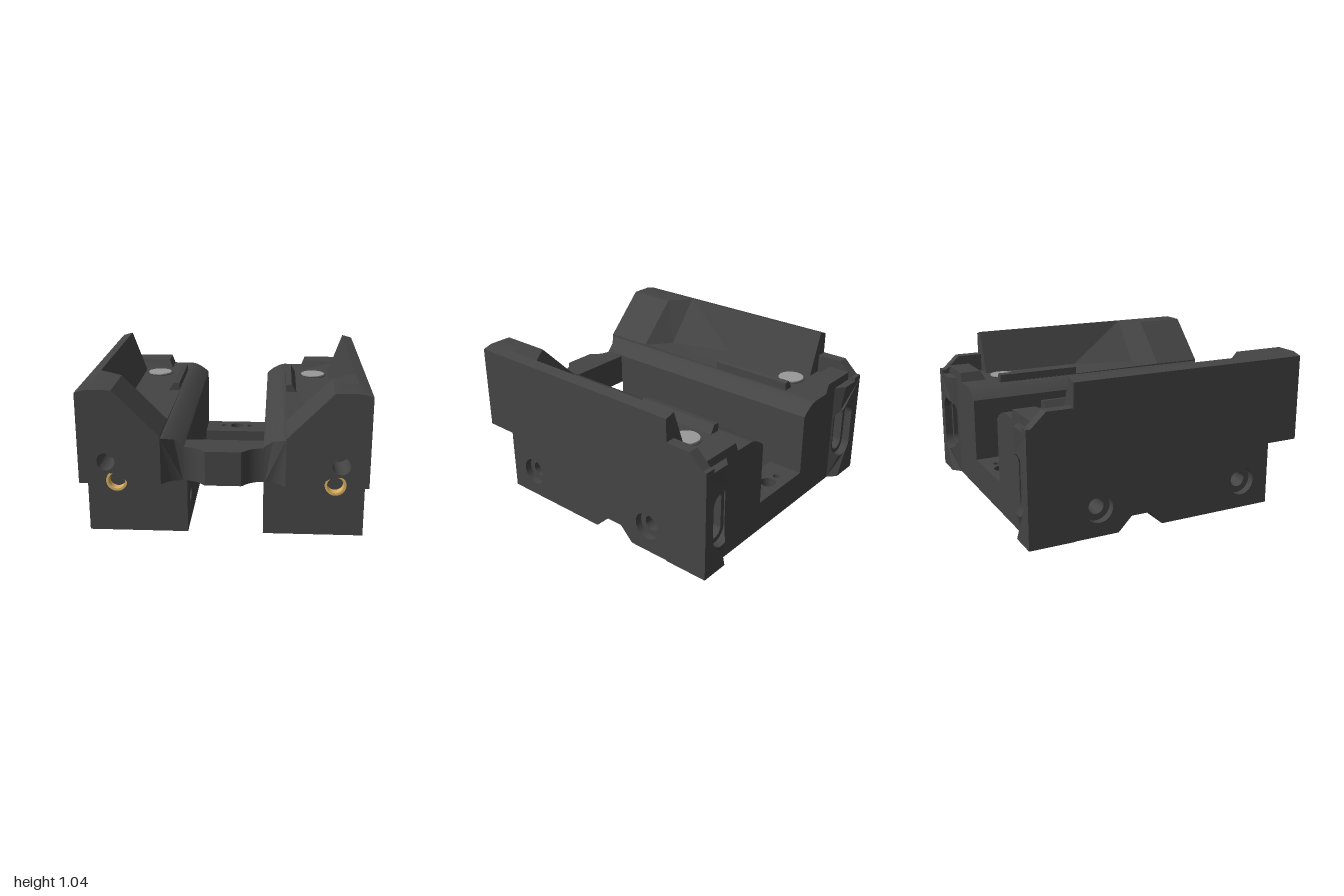
import * as THREE from 'three';
import { toCreasedNormals } from 'three/addons/utils/BufferGeometryUtils.js';

const dark = new THREE.MeshStandardMaterial({ color: 0x444444 });
const steel = new THREE.MeshStandardMaterial({ color: 0x999999 });
const brass = new THREE.MeshStandardMaterial({ color: 0xd9ae60 });

// Shape helpers
function shape(points, holes = []) {
  const s = new THREE.Shape(points.map(([a, b]) => new THREE.Vector2(a, b)));
  s.holes.push(...holes);
  return s;
}
const rect = (a0, b0, a1, b1, holes) => shape([[a0, b0], [a1, b0], [a1, b1], [a0, b1]], holes);
const circle = (a, b, r) => new THREE.Path().absarc(a, b, r, 0, Math.PI * 2, true);
// Obround: halfW across, halfH along the second axis
function slot(a, b, halfW, halfH) {
  const p = new THREE.Path(), k = halfH - halfW;
  p.absarc(a, b + k, halfW, 0, Math.PI, false);
  p.absarc(a, b - k, halfW, Math.PI, Math.PI * 2, false);
  p.closePath();
  return p;
}
const extrude = (s, depth) =>
  new THREE.ExtrudeGeometry(s, { depth, bevelEnabled: false, curveSegments: 20 });
const alongZ = (s, z0, z1) => extrude(s, z1 - z0).translate(0, 0, z0);
// Shape given as (z, y)
const alongX = (s, x0, x1) => extrude(s, x1 - x0).rotateY(-Math.PI / 2).translate(x1, 0, 0);
// Shape given as (x, z)
const alongY = (s, y0, y1) => extrude(s, y1 - y0).rotateX(Math.PI / 2).translate(0, y1, 0);
const box = (x0, x1, y0, y1, z0, z1) =>
  new THREE.BoxGeometry(x1 - x0, y1 - y0, z1 - z0)
    .translate((x0 + x1) / 2, (y0 + y1) / 2, (z0 + z1) / 2);

// Flat-faced geometry from named corners and counter-clockwise polygons
function polyhedron(corners, faces) {
  const pos = [];
  for (const f of faces) {
    for (let i = 1; i < f.length - 1; i++) {
      for (const k of [f[0], f[i], f[i + 1]]) pos.push(...corners[k]);
    }
  }
  const g = new THREE.BufferGeometry();
  g.setAttribute('position', new THREE.Float32BufferAttribute(pos, 3));
  g.computeVertexNormals();
  return g;
}

// Mirror across x, keeping faces outward
function mirrorX(geometry) {
  const g = geometry.index ? geometry.toNonIndexed() : geometry.clone();
  for (const name of Object.keys(g.attributes)) {
    const { array, itemSize: n } = g.attributes[name];
    for (let t = 0; t < array.length; t += 3 * n) {
      for (let k = 0; k < n; k++) {
        [array[t + n + k], array[t + 2 * n + k]] = [array[t + 2 * n + k], array[t + n + k]];
      }
    }
    if (name !== 'uv') for (let i = 0; i < array.length; i += 3) array[i] *= -1;
  }
  return g;
}

// Front edge, scooped by a vertical cylinder on each side
const SCOOP_X = 0.255, SCOOP_Z = 1.074, SCOOP_R = 0.154;
function frontEdge(x) {
  const d = SCOOP_R ** 2 - (Math.abs(x) - SCOOP_X) ** 2;
  return Math.min(1, d > 0 ? SCOOP_Z - Math.sqrt(d) : 1);
}

// Rounded ledge beside the channel, ending at the scoop
function ledgeGeometry() {
  const top = [], bottom = [];
  for (let i = 0; i <= 14; i++) {
    const x = 0.25 + 0.01 * i;
    top.unshift([x, 0.66 + 0.075 * (1 - ((0.39 - x) / 0.14) ** 1.7)]);
    bottom.push([x, 0.43]);
  }
  const g = alongZ(shape([...bottom, ...top]), -0.945, 1);
  const p = g.attributes.position;
  for (let i = 0; i < p.count; i++) if (p.getZ(i) > 0) p.setZ(i, frontEdge(p.getX(i)));
  g.computeVertexNormals();
  return toCreasedNormals(g, 0.5);
}

// Trough wall: tall outer wall whose inside slopes run into the front block
function troughGeometry() {
  const c = {
    A: [0.84, 1.04, -0.69], B: [0.73, 0.735, -0.69], C: [0.73, 0.735, 0.06],
    D: [0.84, 1.04, 0.52], E: [0.58, 0.735, 0.51], F: [0.68, 1.04, 0.64],
    G: [0.39, 0.745, 0.64], H: [0.39, 0.735, -0.69], K: [0.84, 1.04, 0.64],
    L: [0.91, 1.02, 0.64], M: [0.91, 1.02, -0.69], N: [0.91, 0.43, -0.69],
    P: [0.91, 0.43, 0.64], Q: [0.39, 0.43, -0.69], R: [0.39, 0.43, 0.64],
  };
  return polyhedron(c, ['ABCD', 'CED', 'EGFD', 'DFK', 'ADKLM', 'MLPN', 'BAMNQ', 'BQH',
    'HGECB', 'HQRG', 'GRPLKF'].map((f) => [...f]));
}

// Rear corner plate: slotted, with a bevelled inner edge
function cornerGeometry() {
  const s = shape([[0.65, 0], [0.71, 0], [0.915, 0], [0.915, 0.74], [0.71, 0.74], [0.65, 0.74]],
    [slot(0.75, 0.37, 0.09, 0.2)]);
  const g = alongZ(s, -1, -0.945);
  const p = g.attributes.position;
  for (let i = 0; i < p.count; i++) {
    const x = p.getX(i);
    if (p.getZ(i) < -0.99 && x < 0.71) p.setZ(i, -1 + (0.71 - x) * 0.055 / 0.06);
  }
  g.computeVertexNormals();
  return g;
}

// Tapered pad on the rear deck
function padGeometry() {
  return polyhedron({
    a: [0.53, 0.735, -0.945], b: [0.84, 0.735, -0.945], c: [0.84, 0.735, -0.74], d: [0.53, 0.735, -0.76],
    e: [0.555, 0.8, -0.945], f: [0.84, 0.8, -0.945], g: [0.84, 0.8, -0.79], h: [0.555, 0.8, -0.79],
  }, ['ehgf', 'dcgh', 'adhe', 'abfe', 'bcgf'].map((f) =>
    f === 'abfe' ? ['a', 'e', 'f', 'b'] : f === 'bcgf' ? ['b', 'f', 'g', 'c'] : [...f]));
}

export function createModel() {
  const model = new THREE.Group();
  model.name = 'clampBody';
  const add = (name, geometry, material = dark) => {
    const m = new THREE.Mesh(geometry, material);
    m.name = name;
    model.add(m);
  };
  const pair = (name, geometry, material) => {
    add(name + 'Left', geometry, material);
    add(name + 'Right', mirrorX(geometry), material);
  };

  // Lower rails with cross holes, counterbores and a bottom notch
  const side = (r) => shape(
    [[-0.69, 0], [-0.385, 0], [-0.29, 0.097], [-0.16, 0.097], [-0.065, 0], [0.7, 0], [0.7, 0.43], [-0.69, 0.43]],
    [circle(0.56, 0.187, r), circle(-0.52, 0.187, r)]);
  pair('railCore', toCreasedNormals(alongX(side(0.053), 0.25, 0.86), 0.5));
  pair('railSkin', toCreasedNormals(alongX(side(0.095), 0.86, 0.91), 0.5));
  pair('railFrontPlate', alongZ(rect(0.25, 0, 0.91, 0.43, [circle(0.72, 0.35, 0.072)]), 0.7, 0.77));

  // Upper rails
  pair('ledge', ledgeGeometry());
  pair('troughWall', troughGeometry());
  const blockTop = [[0.91, 1.02], [0.84, 1.04], [0.68, 1.04], [0.39, 0.745]];
  pair('frontBlock', alongZ(shape([[0.39, 0.43], [0.91, 0.43], ...blockTop]), 0.64, 0.77));
  const scallop = [];
  for (let i = 0; i <= 16; i++) {
    const a = Math.PI * (0.82 - 0.64 * i / 16);
    scallop.push([0.72 + 0.15 * Math.cos(a), 0.43 + 0.15 * (Math.sin(a) - Math.sin(Math.PI * 0.18))]);
  }
  pair('frontOverhang', toCreasedNormals(alongZ(shape(
    [[0.39, 0.43], ...scallop, [0.91, 0.43], ...blockTop],
    [circle(0.735, 0.575, 0.057)]), 0.77, 1), 0.5));
  pair('guideStrip', alongZ(shape([[0.395, 0.73], [0.475, 0.73], [0.437, 0.795], [0.395, 0.79]]), -0.69, -0.08));

  // Rear block, slotted on its back and underside
  pair('rearBase', alongY(rect(0.25, -0.88, 0.915, -0.69,
    [slot(0.555, -0.81, 0.045, 0.06), slot(0.63, -0.81, 0.02, 0.04)].slice(0, 1)), 0, 0.07));
  pair('rearCore', box(0.25, 0.915, 0.07, 0.43, -0.88, -0.69));
  pair('rearDeck', box(0.39, 0.915, 0.43, 0.735, -0.88, -0.69));
  pair('rearPlate', alongZ(shape(
    [[0.25, 0], [0.915, 0], [0.915, 0.735], [0.39, 0.735], [0.39, 0.43], [0.25, 0.43]],
    [slot(0.75, 0.37, 0.06, 0.165)]), -0.945, -0.88));
  pair('rearCorner', cornerGeometry());
  pair('rearRim', alongX(shape([[-0.69, 0.73], [-0.69, 0.865], [-0.87, 0.865], [-0.97, 0.77],
    [-1, 0.77], [-1, 0.73]]), 0.84, 0.915));
  pair('rearPad', padGeometry());

  // Cross bridges
  const edge = [];
  for (let i = 0; i <= 40; i++) {
    const x = 0.25 - 0.0125 * i;
    edge.push([x, frontEdge(x)]);
  }
  add('frontBridge', toCreasedNormals(
    alongY(shape([[-0.25, 0.775], [0.25, 0.775], ...edge]), 0.43, 0.655), 0.5));
  add('rearBridge', alongY(rect(-0.25, -0.945, 0.25, -0.69,
    [circle(0, -0.84, 0.055), circle(0.108, -0.84, 0.025), circle(-0.108, -0.84, 0.025)]), 0, 0.217));

  // Screw heads in the troughs
  const disc = (r, h, x, y, z) => new THREE.CylinderGeometry(r, r, h, 40).translate(x, y, z);
  pair('screwCollar', disc(0.105, 0.006, 0.61, 0.736, -0.6));
  pair('screwHead', disc(0.09, 0.02, 0.61, 0.736, -0.6), steel);

  // Threaded inserts
  const ring = (x, y, R, r) => {
    const s = new THREE.Shape().absarc(x, y, R, 0, Math.PI * 2, false);
    s.holes.push(circle(x, y, r));
    return s;
  };
  pair('frontInsert', toCreasedNormals(alongZ(ring(0.72, 0.35, 0.071, 0.055), 0.7, 0.762), 0.5), brass);
  pair('notchInsert', alongY(ring(0.76, -0.22, 0.05, 0.032), 0.09, 0.12), brass);
  add('rearInsert', alongY(ring(0, -0.84, 0.056, 0.046), 0.002, 0.06), brass);

  return model;
}
